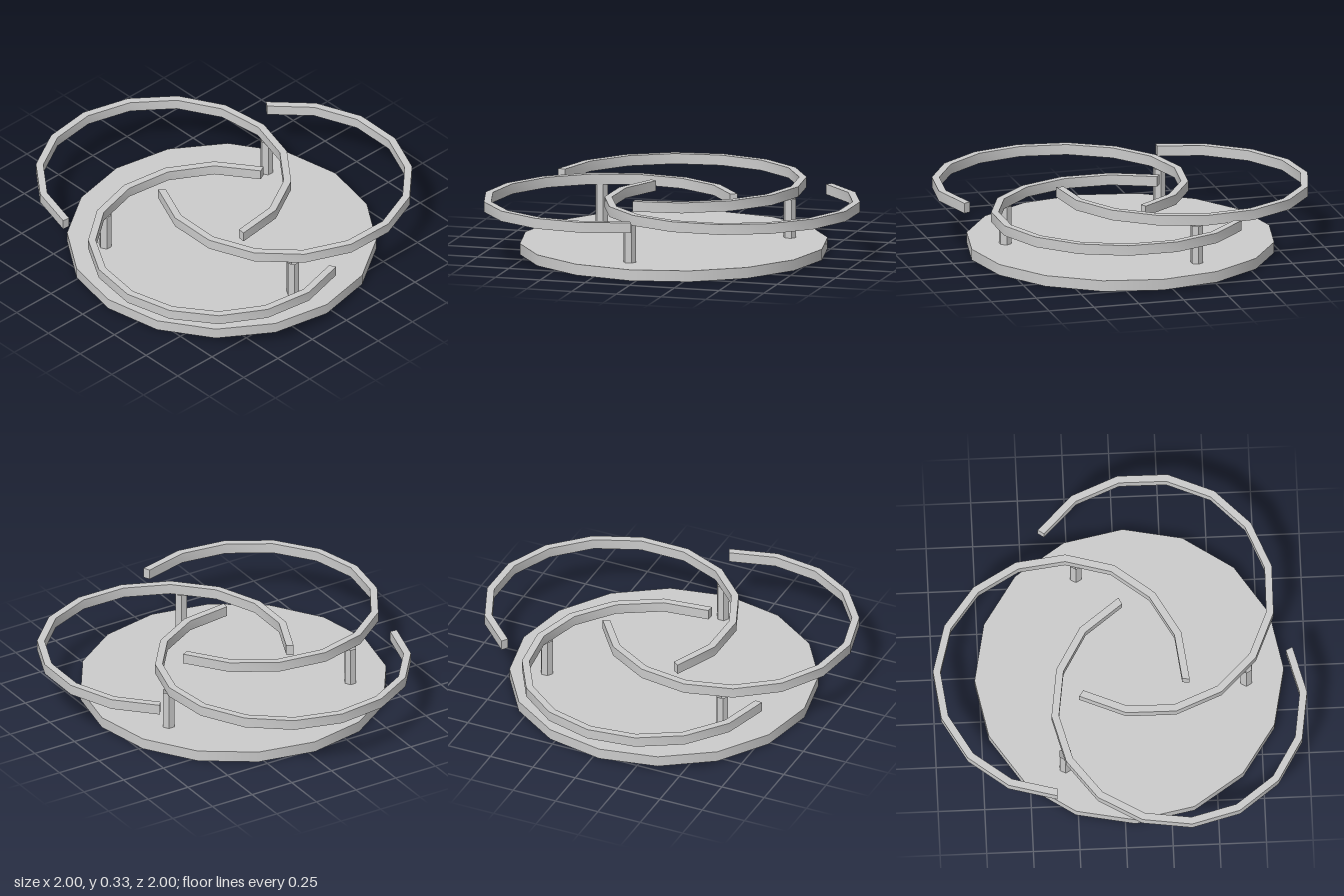
import * as THREE from 'three';
import { toCreasedNormals } from 'three/addons/utils/BufferGeometryUtils.js';

const solid = new THREE.MeshStandardMaterial({ color: 0xcccccc });
const sheet = new THREE.MeshStandardMaterial({ color: 0xcccccc, side: THREE.DoubleSide });
const facetedSheet = new THREE.MeshStandardMaterial({ color: 0xcccccc, side: THREE.DoubleSide, flatShading: true });

function part(name, geometry, material, x, y, z) {
  const mesh = new THREE.Mesh(geometry, material);
  mesh.name = name;
  mesh.position.set(x, y, z);
  return mesh;
}

// Three-quarter flat band lying in the xz plane, its underside at y = 0
function bandGeometry(inner, outer, height, startDegrees, segments) {
  const points = [];
  const at = (r, i) => {
    const a = THREE.MathUtils.degToRad(startDegrees + (270 * i) / segments);
    return new THREE.Vector2(r * Math.cos(a), r * Math.sin(a));
  };
  for (let i = 0; i <= segments; i++) points.push(at(outer, i));
  for (let i = segments; i >= 0; i--) points.push(at(inner, i));
  const geometry = new THREE.ExtrudeGeometry(new THREE.Shape(points), { depth: height, bevelEnabled: false });
  geometry.rotateX(Math.PI / 2);
  geometry.translate(0, height, 0);
  return toCreasedNormals(geometry, 0.5);
}

export function createModel() {
  const model = new THREE.Group();
  model.name = 'swirlStand';
  const cx = 0.055, cz = 0.036;
  const radius = 0.829, baseHeight = 0.06;
  const bandBottom = 0.271, bandHeight = 0.056;

  // Thin round base: a rim and a top sheet, open underneath
  const rim = new THREE.CylinderGeometry(radius, radius, baseHeight, 16, 1, true);
  model.add(part('baseRim', rim, sheet, cx, baseHeight / 2, cz));
  const top = new THREE.CircleGeometry(radius, 16).rotateX(-Math.PI / 2);
  model.add(part('baseTop', top, sheet, cx, baseHeight, cz));

  const band = bandGeometry(0.648, 0.688, bandHeight, 214.2, 12);

  // Hexagonal tubes that pass through the base top
  const postBottom = 0.03;
  const postHeight = bandBottom - postBottom;
  const post = new THREE.CylinderGeometry(0.035, 0.035, postHeight, 6, 1, true);

  // Three interleaved open rings, each carried by one post
  for (let i = 0; i < 3; i++) {
    const turn = (i * Math.PI * 2) / 3;

    const ringAngle = turn + THREE.MathUtils.degToRad(-73);
    const ring = part('openRing' + (i + 1), band, solid,
      cx + 0.377 * Math.cos(ringAngle), bandBottom, cz + 0.377 * Math.sin(ringAngle));
    ring.rotation.y = -turn;
    model.add(ring);

    const postAngle = turn + THREE.MathUtils.degToRad(5.4);
    model.add(part('post' + (i + 1), post, facetedSheet,
      cx + 0.628 * Math.cos(postAngle), postBottom + postHeight / 2, cz + 0.628 * Math.sin(postAngle)));
  }
  return model;
}
